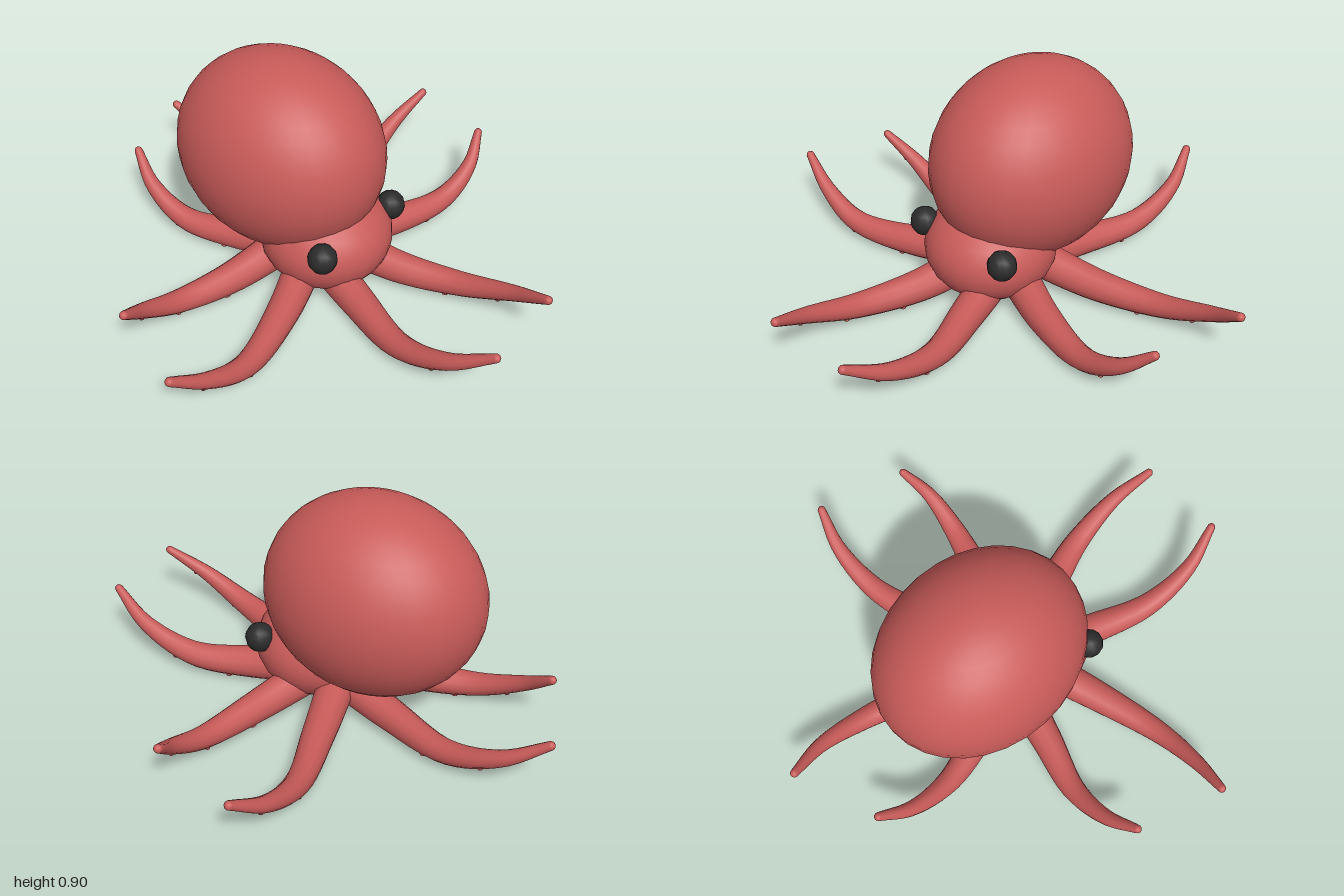
import * as THREE from 'three';

// Plan-view centre lines [x, z] of the eight arms, root to tip
const ARMS = {
  frontLeft: [[0.06, 0.1], [0.12, 0.33], [0.195, 0.57], [0.21, 0.8], [0.17, 0.965]],
  frontRight: [[-0.07, 0.1], [-0.135, 0.33], [-0.22, 0.59], [-0.235, 0.81], [-0.19, 0.975]],
  frontSideLeft: [[0.1, 0.05], [0.35, 0.15], [0.6, 0.22], [0.77, 0.23], [0.885, 0.19]],
  frontSideRight: [[-0.1, 0.05], [-0.36, 0.15], [-0.65, 0.23], [-0.84, 0.23], [-0.985, 0.2]],
  backSideLeft: [[0.1, -0.07], [0.36, -0.14], [0.63, -0.215], [0.84, -0.222], [0.985, -0.18]],
  backSideRight: [[-0.1, -0.07], [-0.36, -0.13], [-0.58, -0.19], [-0.75, -0.19], [-0.875, -0.15]],
  backLeft: [[0.06, -0.05], [0.13, -0.33], [0.21, -0.6], [0.225, -0.82], [0.18, -0.975]],
  backRight: [[-0.07, -0.05], [-0.15, -0.3], [-0.215, -0.53], [-0.215, -0.72], [-0.17, -0.845]],
};
const HEIGHTS = [0.12, 0.075, 0.075, 0.155, 0.25];
const armRadius = (t) => 0.017 + 0.06 * (1 - Math.pow(t, 1.3));

export function createModel() {
  const model = new THREE.Group();
  const skin = new THREE.MeshStandardMaterial({ color: 0xc85b59 });
  skin.name = 'coralSkin';
  const black = new THREE.MeshStandardMaterial({ color: 0x2c2b2b });
  black.name = 'eyeBlack';

  function ball(name, parent, material, pos, radii, w = 24, h = 16) {
    const mesh = new THREE.Mesh(new THREE.SphereGeometry(1, w, h), material);
    mesh.name = name;
    mesh.position.set(...pos);
    mesh.scale.set(...radii);
    parent.add(mesh);
    return mesh;
  }

  // Body and head
  ball('mantle', model, skin, [-0.01, 0.508, -0.165], [0.363, 0.4, 0.445], 32, 20);
  ball('head', model, skin, [-0.01, 0.205, 0.07], [0.265, 0.2, 0.262]);

  // Eyes
  ball('leftEye', model, black, [0.2, 0.287, 0.225], [0.058, 0.06, 0.058], 12, 8);
  ball('rightEye', model, black, [-0.22, 0.287, 0.225], [0.058, 0.06, 0.058], 12, 8);

  // Tapered arms with rounded ends and staggered suckers underneath
  const segments = 24, sides = 12;
  for (const [name, plan] of Object.entries(ARMS)) {
    const arm = new THREE.Group();
    arm.name = name + 'Arm';
    const curve = new THREE.CatmullRomCurve3(
      plan.map(([x, z], i) => new THREE.Vector3(x, HEIGHTS[i], z)));
    const geo = new THREE.TubeGeometry(curve, segments, 1, sides);
    const pos = geo.attributes.position;
    const v = new THREE.Vector3();
    for (let i = 0; i < pos.count; i++) {
      const t = Math.floor(i / (sides + 1)) / segments;
      const c = curve.getPointAt(t);
      v.fromBufferAttribute(pos, i).sub(c).multiplyScalar(armRadius(t)).add(c);
      pos.setXYZ(i, v.x, v.y, v.z);
    }
    const tube = new THREE.Mesh(geo, skin);
    tube.name = name + 'Tentacle';
    arm.add(tube);
    for (const t of [0, 1]) {
      const r = armRadius(t);
      ball(t ? 'armTip' : 'armRoot', arm, skin, curve.getPointAt(t).toArray(), [r, r, r], 12, 8);
    }

    for (let k = 0; k < 5; k++) {
      const t = 0.36 + k * 0.12;
      const tangent = curve.getTangentAt(t);
      const side = new THREE.Vector3(-tangent.z, 0, tangent.x).normalize();
      const down = new THREE.Vector3().crossVectors(tangent, side).normalize();
      if (down.y > 0) down.negate();
      const p = curve.getPointAt(t);
      const out = down.addScaledVector(side, k % 2 ? 0.45 : -0.45).normalize();
      p.addScaledVector(out, armRadius(t));
      const s = 0.013 - k * 0.0012;
      const sucker = ball('sucker', arm, skin, p.toArray(), [s, s * 0.6, s], 8, 6);
      sucker.quaternion.setFromUnitVectors(new THREE.Vector3(0, 1, 0), out);
    }
    model.add(arm);
  }
  return model;
}
